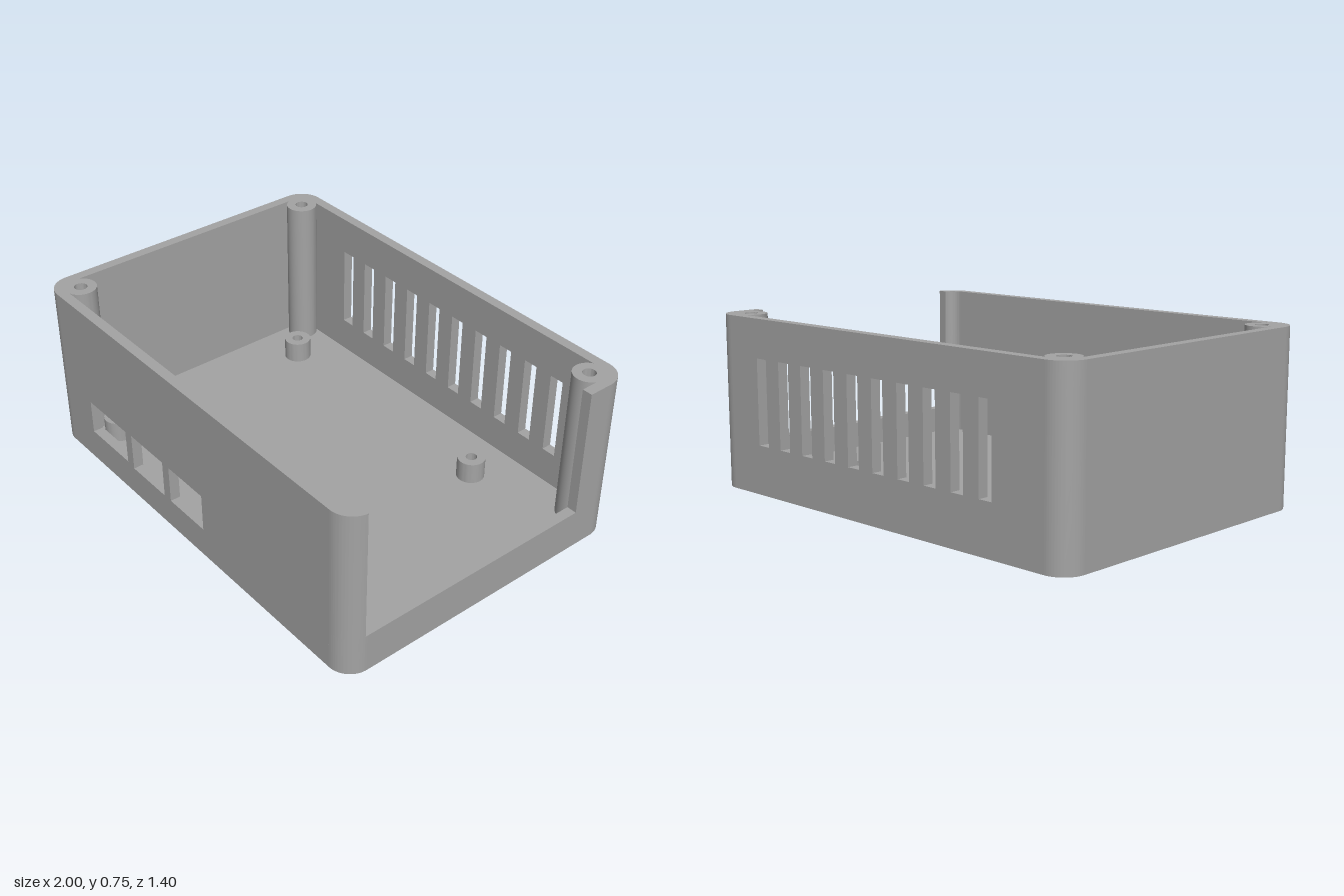
import * as THREE from 'three';
import { toCreasedNormals } from 'three/addons/utils/BufferGeometryUtils.js';

const X = 1, Z = 0.7, H = 0.75;      // half width, half depth, height
const R = 0.1, T = 0.045;            // corner radius, wall thickness
const FLOOR = 0.06, SILL = 0.175;    // floor top, side opening sill

export function createModel() {
  const model = new THREE.Group();
  model.name = 'enclosureBase';
  const grey = new THREE.MeshStandardMaterial({ color: 0xa3a3a3 });
  grey.name = 'grey plastic';

  const add = (name, geometry) => {
    const mesh = new THREE.Mesh(toCreasedNormals(geometry, 0.5), grey);
    mesh.name = name;
    model.add(mesh);
    return mesh;
  };
  const extrude = (shape, depth) =>
    new THREE.ExtrudeGeometry(shape, { depth, bevelEnabled: false, curveSegments: 24 });
  // Footprint (x, -z) raised from y0 to y1
  const raise = (name, shape, y0, y1) =>
    add(name, extrude(shape, y1 - y0).rotateX(-Math.PI / 2).translate(0, y0, 0));
  const circle = (x, z, r) => new THREE.Path().absarc(x, -z, r, 0, Math.PI * 2);
  const rect = (x0, y0, x1, y1, Type = THREE.Shape) => new Type([
    [x0, y0], [x1, y0], [x1, y1], [x0, y1]].map(p => new THREE.Vector2(...p)));
  const box = (name, x0, x1, y0, y1, z0, z1) => raise(name, rect(x0, -z1, x1, -z0), y0, y1);

  // Floor: lower layer has four round foot recesses
  const floorShape = () => {
    const s = new THREE.Shape(), r = R - T;
    [[1, 1], [-1, 1], [-1, -1], [1, -1]].forEach(([sx, sy], i) =>
      s.absarc(sx * (X - R), sy * (Z - R), r, i * Math.PI / 2, (i + 1) * Math.PI / 2));
    s.closePath();
    return s;
  };
  const lower = floorShape();
  for (const x of [-0.795, 0.795])
    for (const z of [-0.5, 0.5]) lower.holes.push(circle(x, z, 0.09));
  raise('floorUnderside', lower, 0, 0.025);
  raise('floor', floorShape(), 0.025, FLOOR);

  // Rounded corners: a quarter ring between angles a0 and a1
  const corner = (name, sx, sz, a0, a1, y0, y1) => {
    const s = new THREE.Shape(), cx = sx * (X - R), cy = -sz * (Z - R);
    s.absarc(cx, cy, R, a0, a1, false);
    s.absarc(cx, cy, R - T, a1, a0, true);
    s.closePath();
    raise(name, s, y0, y1);
  };
  const q = Math.PI / 2;
  corner('backLeftCorner', 1, -1, 0, q, 0, H);
  corner('backRightCorner', -1, -1, q, 2 * q, 0, H);
  corner('frontRightCorner', -1, 1, 2 * q, 3 * q, 0, H);
  corner('frontLeftCornerBase', 1, 1, 3 * q, 4 * q, 0, SILL);
  corner('frontLeftCorner', 1, 1, 3 * q, 4 * q - 0.1, SILL, H);

  // Front wall with three port windows
  const front = rect(-X + R, 0, X - R, H);
  for (const [x0, y0, x1, y1] of [
    [-0.715, 0.145, -0.44, 0.3], [-0.395, 0.135, -0.165, 0.305], [-0.12, 0.135, 0.11, 0.305],
  ]) front.holes.push(rect(x0, y0, x1, y1, THREE.Path));
  add('frontWall', extrude(front, T).translate(0, 0, Z - T));

  // Back wall with ten vent slots
  const back = rect(-X + R, 0, X - R, H);
  for (let i = 0; i < 10; i++) {
    const x = -0.65 + i * 0.145;
    back.holes.push(rect(x, 0.213, x + 0.065, 0.583, THREE.Path));
  }
  add('backWall', extrude(back, T).translate(0, 0, -Z));

  // Side walls: the left one is cut down to a sill
  box('rightWall', -X, -X + T, 0, H, -Z + R, Z - R);
  box('leftSill', X - T, X, 0, SILL, -Z + R, Z - R);
  box('leftWallEnd', X - T, X, SILL, H, -Z + R, -0.49);

  // Hollow round posts
  const post = (name, x, z, r, hole, top) => {
    const s = new THREE.Shape().absarc(x, -z, r, 0, Math.PI * 2);
    s.holes.push(circle(x, z, hole));
    raise(name, s, FLOOR, top);
  };
  for (const [x, z] of [[-0.893, -0.595], [0.893, -0.595], [-0.893, 0.59]])
    post('screwPost', x, z, 0.068, 0.028, H);
  for (const x of [-0.735, 0.455])
    for (const z of [-0.44, 0.565]) post('boardStandoff', x, z, 0.06, 0.024, 0.155);

  return model;
}
